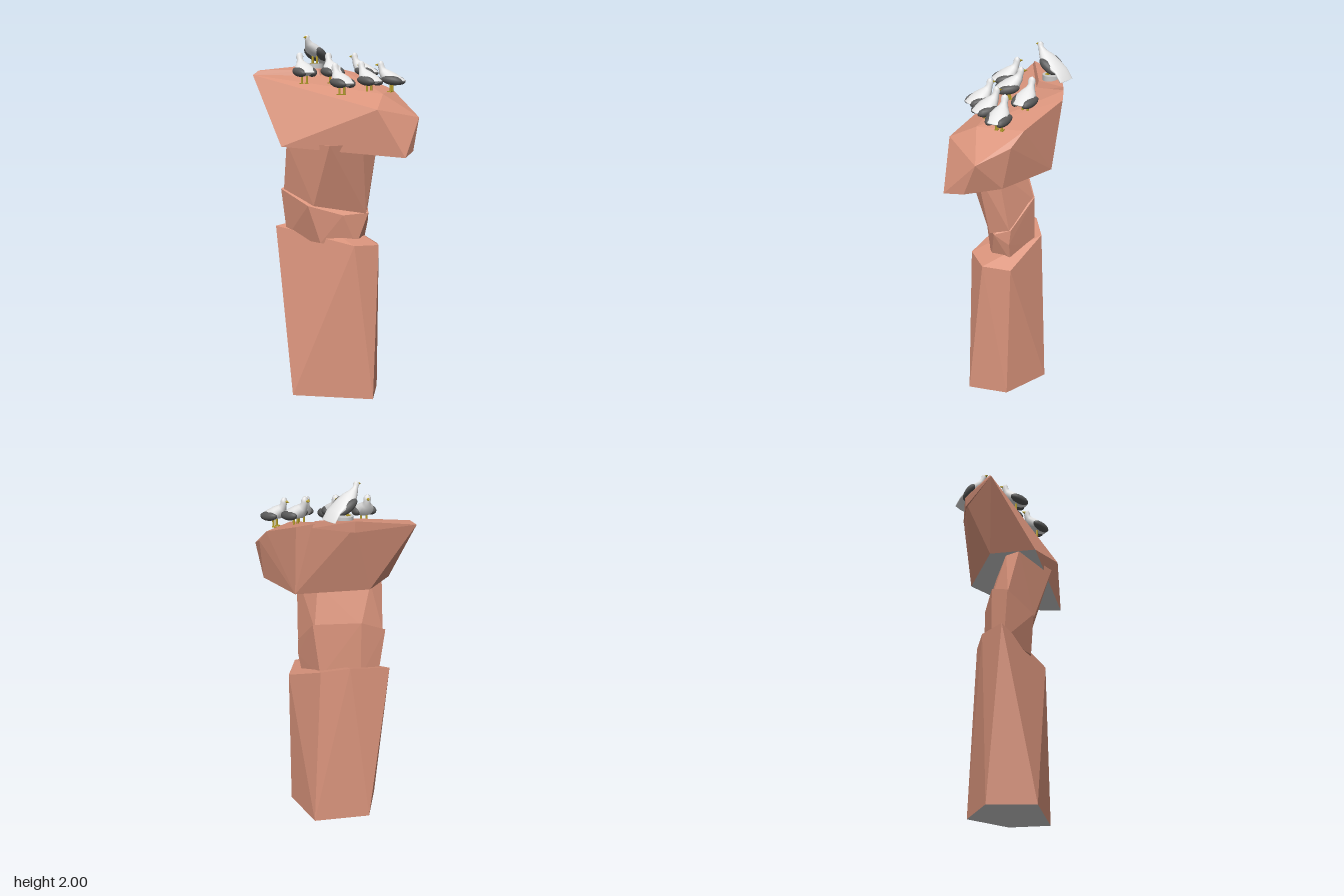
import * as THREE from 'three';
import { ConvexGeometry } from 'three/addons/geometries/ConvexGeometry.js';

const mat = (name, color) => {
  const m = new THREE.MeshStandardMaterial({ color });
  m.name = name;
  return m;
};

export function createModel() {
  const rock = mat('red sandstone', 0xda947c);
  const base = mat('grey underside', 0xd2d2d2);
  const plumage = mat('pale plumage', 0xececec);
  const wingGrey = mat('dark wing', 0x5a5a5a);
  const yellow = mat('yellow beak and legs', 0xb8a02c);
  const stone = mat('light grey nest', 0xc8c8c8);

  const model = new THREE.Group();
  model.name = 'birdsOnRockStack';

  const add = (parent, name, geo, material, x = 0, y = 0, z = 0) => {
    const m = new THREE.Mesh(geo, material);
    m.name = name;
    m.position.set(x, y, z);
    parent.add(m);
    return m;
  };

  // Faceted boulder: a hull whose downward faces may use the underside colour
  const boulder = (name, points, greyBase = false) => {
    const geo = new ConvexGeometry(points.map(p => new THREE.Vector3(...p)));
    const n = geo.attributes.normal;
    const sides = [], bottom = [];
    for (let i = 0; i < n.count; i += 3) {
      (greyBase && n.getY(i) < -0.85 ? bottom : sides).push(i, i + 1, i + 2);
    }
    geo.setIndex([...sides, ...bottom]);
    geo.addGroup(0, sides.length, 0);
    geo.addGroup(sides.length, bottom.length, 1);
    return add(model, name, geo, [rock, base]);
  };

  // Tall base pillar
  boulder('pillar', [
    [0.16, 0, 0.23], [0.245, 0, 0.02], [0.11, 0, -0.23], [-0.21, 0, -0.19], [-0.26, 0, 0.06],
    [0.06, 0.87, 0.19], [0.21, 0.86, 0.15], [0.245, 0.84, 0], [0.07, 0.95, -0.2],
    [-0.09, 0.97, -0.2], [-0.31, 0.94, -0.135],
  ], true);

  // Two stacked neck blocks
  boulder('lowerNeck', [
    [-0.285, 1.155, -0.1], [-0.17, 1.08, 0.07], [0.02, 1.025, 0.1], [0.17, 1.03, 0.08],
    [0.19, 1.06, -0.01], [0.11, 1.21, -0.15], [-0.15, 1.22, -0.16],
    [0.19, 0.97, 0], [-0.25, 0.88, -0.11], [-0.1, 0.87, 0.07], [0.1, 0.85, 0.085],
    [0.17, 0.86, -0.01], [0.07, 0.9, -0.16], [-0.15, 0.9, -0.16],
  ]);
  boulder('upperNeck', [
    [-0.265, 1.42, -0.03], [-0.08, 1.42, 0.2], [0.1, 1.42, 0.21], [0.19, 1.42, 0.17],
    [0.19, 1.42, 0.06], [0.08, 1.42, -0.09], [-0.2, 1.42, -0.09],
    [-0.27, 1.15, -0.095], [-0.14, 1.08, 0.08], [0.15, 1.03, 0.1], [0.19, 1.06, 0],
    [0.1, 1.19, -0.15], [-0.15, 1.2, -0.15],
  ]);

  // Overhanging cap and the raised ledge at its back
  boulder('capRock', [
    [0.29, 1.36, 0.35], [0.365, 1.385, 0.255], [0.37, 1.405, 0.06], [0.2, 1.415, -0.22],
    [-0.19, 1.42, -0.18], [-0.31, 1.405, 0.05],
    [-0.415, 1.78, -0.22], [0.15, 1.61, 0.3], [0.415, 1.56, 0.2], [0.385, 1.63, 0.02],
    [0.345, 1.7, -0.05], [0.22, 1.685, 0.17], [0.19, 1.79, -0.27], [0.11, 1.81, -0.29],
    [-0.1, 1.8, -0.31],
  ], true);
  boulder('backLedge', [
    [-0.415, 1.78, -0.22], [-0.04, 1.76, -0.172], [0.11, 1.79, -0.29], [-0.1, 1.77, -0.31],
    [-0.38, 1.805, -0.225], [-0.05, 1.81, -0.19], [0.1, 1.825, -0.29], [-0.1, 1.83, -0.315],
  ]);

  // Smooth skin through oval sections [z, y, halfWidth, halfHeight, tilt]
  const loft = (sections, sides = 16) => {
    const pos = [], idx = [];
    for (const [z, y, rx, ry, t] of sections) {
      for (let j = 0; j < sides; j++) {
        const a = (j / sides) * Math.PI * 2, h = Math.sin(a) * ry;
        pos.push(Math.cos(a) * rx, y + h * Math.cos(t), z - h * Math.sin(t));
      }
    }
    for (let i = 0; i < sections.length - 1; i++) {
      for (let j = 0; j < sides; j++) {
        const a = i * sides + j, b = i * sides + (j + 1) % sides;
        idx.push(a, b, a + sides, b, b + sides, a + sides);
      }
    }
    const geo = new THREE.BufferGeometry();
    geo.setAttribute('position', new THREE.Float32BufferAttribute(pos, 3));
    geo.setIndex(idx);
    geo.computeVertexNormals();
    return geo;
  };

  const restingBody = loft([
    [-0.076, 0.062, 0.002, 0.001, 0], [-0.074, 0.062, 0.026, 0.004, 0],
    [-0.045, 0.066, 0.045, 0.02, 0.05], [-0.005, 0.073, 0.054, 0.034, 0.2],
    [0.03, 0.086, 0.044, 0.036, 0.5], [0.05, 0.11, 0.024, 0.024, 0.9],
    [0.058, 0.13, 0.017, 0.017, 1.2], [0.062, 0.146, 0.02, 0.018, 1.2],
    [0.065, 0.16, 0.015, 0.013, 1.2], [0.066, 0.168, 0.001, 0.001, 1.2],
  ]);
  const uprightBody = loft([
    [-0.112, -0.01, 0.002, 0.001, 0.9], [-0.11, -0.008, 0.05, 0.004, 0.9],
    [-0.075, 0.035, 0.05, 0.011, 0.7], [-0.02, 0.06, 0.054, 0.028, 0.6],
    [0.025, 0.085, 0.045, 0.034, 0.8], [0.053, 0.112, 0.022, 0.022, 1.1],
    [0.067, 0.134, 0.013, 0.013, 1.3], [0.071, 0.147, 0.016, 0.016, 1.3],
    [0.073, 0.157, 0.009, 0.009, 1.3], [0.073, 0.16, 0.001, 0.001, 1.3],
  ]);
  const wingGeo = new THREE.SphereGeometry(1, 16, 10);
  const legGeo = new THREE.CylinderGeometry(0.006, 0.006, 0.05, 8);
  const footGeo = new THREE.BoxGeometry(0.016, 0.005, 0.022);
  const beakGeo = new THREE.ConeGeometry(0.008, 0.022, 8).rotateX(Math.PI / 2);

  // One bird, facing +z before it is turned toward (dx, dz)
  const bird = (name, [x, y, z, dx, dz], upright = false) => {
    const g = new THREE.Group();
    g.name = name;
    g.position.set(x, y, z);
    g.rotation.y = Math.atan2(dx, dz);
    add(g, 'body', upright ? uprightBody : restingBody, plumage);
    add(g, 'beak', beakGeo, yellow, 0, 0.146, upright ? 0.092 : 0.087);
    for (const s of [-1, 1]) {
      // Folded wing hugging the flank
      const wing = add(g, 'wing', wingGeo, wingGrey, s * 0.036, upright ? 0.054 : 0.064, -0.014);
      wing.scale.set(0.027, 0.025, 0.058);
      wing.rotation.set(upright ? -0.6 : -0.15, s * 0.15, 0);
      add(g, 'leg', legGeo, yellow, s * 0.015, 0.025, 0);
      add(g, 'foot', footGeo, yellow, s * 0.015, 0.003, 0.006);
    }
    model.add(g);
  };

  // Flock resting on the slope
  [
    [-0.163, 1.735, -0.033, -0.2, -1],
    [-0.008, 1.735, -0.028, -0.12, -1],
    [0.19, 1.735, -0.08, -1, -0.85],
    [0.005, 1.68, 0.128, -0.4, -1],
    [0.16, 1.69, 0.112, -0.5, -1],
    [0.3, 1.69, 0.067, -1, -0.7],
  ].forEach((b, i) => bird('restingBird' + (i + 1), b));

  // Lookout bird on a round nest
  add(model, 'nest', new THREE.CylinderGeometry(0.045, 0.045, 0.035, 20), stone, -0.05, 1.825, -0.255);
  bird('lookoutBird', [-0.055, 1.84, -0.25, -1, 0.8], true);

  return model;
}
